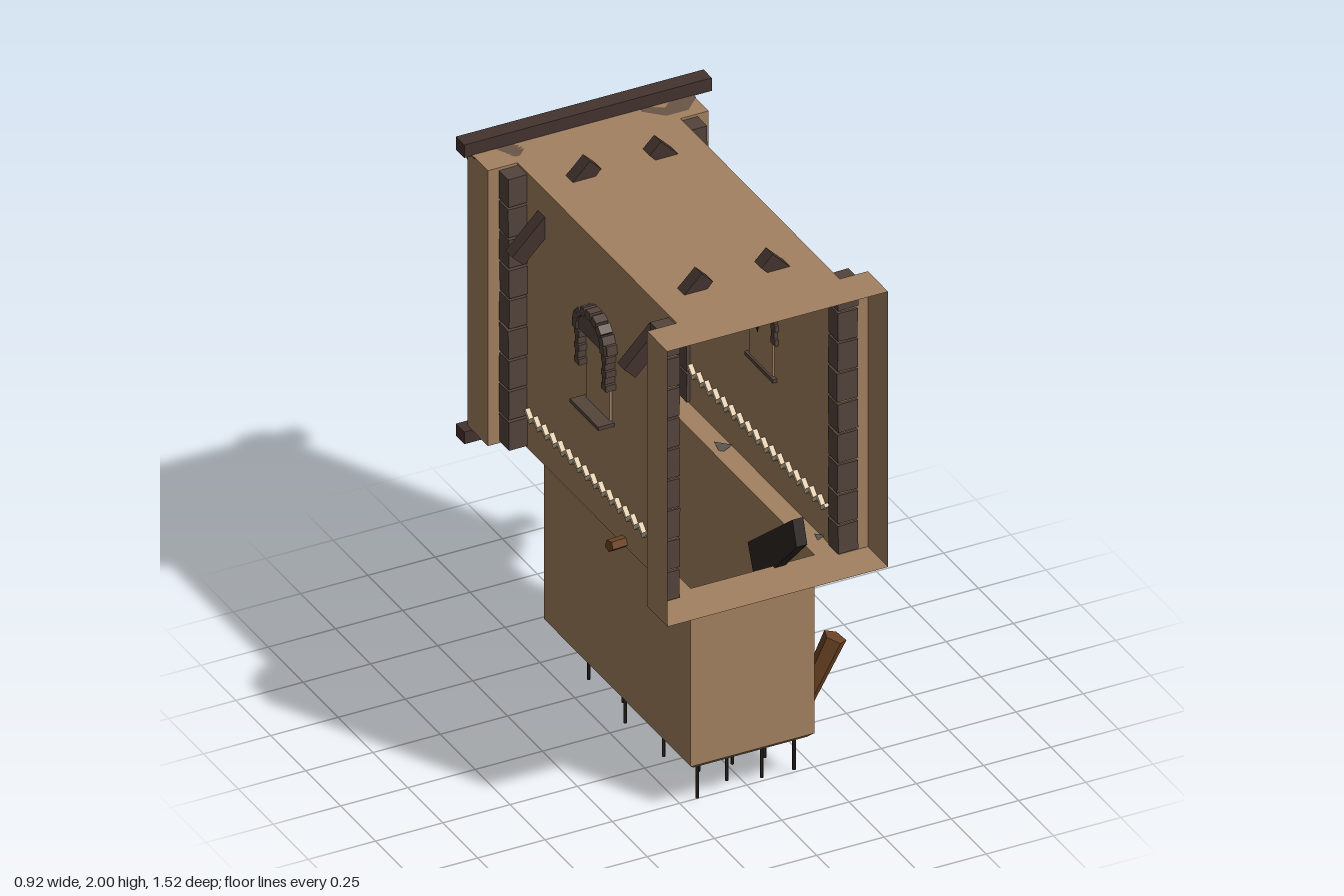
import * as THREE from 'three';

const CX = -0.02; // mirror plane of the corridor
const mat = (color, open = false) => new THREE.MeshStandardMaterial({
  color, flatShading: true, side: open ? THREE.DoubleSide : THREE.FrontSide });
const M = {
  wall: mat(0xa38160, true), stone: mat(0x54443c), timber: mat(0x44342f), column: mat(0x6b5448),
  wood: mat(0x6b4324), iron: mat(0x2c2522), tile: mat(0xd8c2a0), gold: mat(0xc07818), shard: mat(0x595450),
};
let seed = 7;
const rnd = () => (seed = (seed * 16807) % 2147483647) / 2147483647;

export function createModel() {
  const root = new THREE.Group();

  const add = (name, geo, material, x = 0, y = 0, z = 0, parent = root) => {
    const m = new THREE.Mesh(geo, material);
    m.name = name;
    m.position.set(x, y, z);
    parent.add(m);
    return m;
  };
  const box = (name, w, h, d, material, x, y, z, parent) =>
    add(name, new THREE.BoxGeometry(w, h, d), material, x, y, z, parent);
  // faceted bar between two points
  const bar = (name, a, b, r0, r1, sides, material) => {
    const p = new THREE.Vector3(...a), q = new THREE.Vector3(...b);
    const m = add(name, new THREE.CylinderGeometry(r1, r0, p.distanceTo(q), sides), material);
    m.position.copy(p).add(q).multiplyScalar(0.5);
    m.quaternion.setFromUnitVectors(new THREE.Vector3(0, 1, 0), q.sub(p).normalize());
    return m;
  };
  // vertical sheet following [x, z] points through a list of rows of points
  const sheet = (rows, ys, closed) => {
    const pos = [], n = rows[0].length;
    for (let r = 0; r < rows.length - 1; r++)
      for (let i = 0; i < (closed ? n : n - 1); i++) {
        const j = (i + 1) % n;
        const v = (row, k) => [rows[row][k][0], ys[row], rows[row][k][1]];
        const a = v(r, i), b = v(r, j), c = v(r + 1, j), d = v(r + 1, i);
        pos.push(...a, ...b, ...c, ...a, ...c, ...d);
      }
    const g = new THREE.BufferGeometry();
    g.setAttribute('position', new THREE.Float32BufferAttribute(pos, 3));
    g.computeVertexNormals();
    return g;
  };
  const flat = (pts, hole) => {
    const v = (l) => l.map(([x, z]) => new THREE.Vector2(x, -z));
    const s = new THREE.Shape(v(pts));
    if (hole) s.holes.push(new THREE.Path(v(hole)));
    return new THREE.ShapeGeometry(s).rotateX(-Math.PI / 2);
  };

  // corridor shell, widened at both ends
  const rightSide = [[0.39, 0.76], [0.39, 0.615], [0.285, 0.615], [0.285, -0.525], [0.39, -0.525], [0.39, -0.67]];
  const leftSide = rightSide.map(([x, z]) => [2 * CX - x + (x < 0.3 ? 0.005 : 0), z]);
  const plan = [...rightSide, ...leftSide.slice().reverse()];
  const pitRect = (k) => [[0.21 - k, 0.58 - k], [0.21 - k, -0.47 + k], [-0.25 + k, -0.47 + k], [-0.25 + k, 0.58 - k]];
  add('rightWall', sheet([rightSide, rightSide], [0.875, 1.94]), M.wall);
  const l = leftSide.slice().reverse();
  add('leftWall', sheet([l, l], [0.875, 1.94]), M.wall);
  add('roof', flat(plan), M.wall, 0, 1.94, 0);
  add('floor', flat(plan, pitRect(0)), M.wall, 0, 0.875, 0);

  // pit below the floor
  add('pitWalls', sheet([pitRect(0.02), pitRect(0), pitRect(0)], [0.165, 0.185, 0.875], true), M.wall);
  const bottom = flat(pitRect(0.02));
  add('pitBottom', bottom, M.wall, 0, 0.165, 0);

  // spikes through the pit bottom
  const spikes = new THREE.Group();
  spikes.name = 'spikes';
  root.add(spikes);
  const sx = [-0.19, -0.13, -0.08, -0.005, 0.05, 0.115, 0.17];
  const sz = [0.51, 0.405, 0.27, 0.135, -0.005, -0.135, -0.265, -0.385];
  sz.forEach((z, j) => sx.forEach((x, i) => {
    if ((i + j) % 2) return;
    const y0 = i === 4 && j === 2 ? 0 : 0.01 + 0.04 * rnd(), y1 = y0 + 0.22;
    add('spikeShaft', new THREE.CylinderGeometry(0.006, 0.006, y1 - y0, 6), M.iron, x, (y0 + y1) / 2, z, spikes);
    add('spikeTip', new THREE.ConeGeometry(0.006, 0.04, 6), M.iron, x, y1 + 0.02, z, spikes);
  }));

  // back cross beams
  box('topBeam', 0.92, 0.05, 0.06, M.timber, 0, 1.962, -0.667);
  box('bottomBeam', 0.92, 0.047, 0.06, M.timber, 0, 0.853, -0.667);

  // arch stones over a window
  const hood = new THREE.Shape();
  [[-0.125, 0], [0.125, 0], [0.12, 0.035], [0.085, 0.04], [0.075, 0.065], [0.045, 0.08], [0.02, 0.1],
    [-0.02, 0.1], [-0.045, 0.08], [-0.075, 0.065], [-0.085, 0.04], [-0.12, 0.035]]
    .forEach(([x, y], i) => (i ? hood.lineTo(x, y) : hood.moveTo(x, y)));
  const hoodGeo = new THREE.ExtrudeGeometry(hood, { depth: 0.055, bevelEnabled: false })
    .translate(0, 0, -0.0275).rotateY(Math.PI / 2);

  for (const s of [1, -1]) {
    const X = (d) => CX + s * d;         // distance from the mirror plane
    const wall = s > 0 ? 0.285 : -0.32;

    // stone piers at the wall steps
    for (const z of [0.59, -0.49])
      for (let i = 0; i < 9; i++) {
        const k = 0.006 * rnd();
        const st = box('pierStone', 0.078 - k, 0.108, 0.066 + k, M.stone, X(0.331), 0.937 + i * 0.1175, z);
        st.rotation.set(0, (rnd() - 0.5) * 0.06, (rnd() - 0.5) * 0.04);
      }

    // octagonal back columns with flared capitals
    const profile = [[0, 0.86], [0.074, 0.86], [0.074, 0.895], [0.068, 0.9], [0.074, 0.91], [0.074, 0.935],
      [0.066, 0.94], [0.068, 0.965], [0.06, 0.975], [0.063, 1.8], [0.072, 1.83], [0.104, 1.94], [0, 1.94]];
    const col = new THREE.LatheGeometry(profile.map(([r, y]) => new THREE.Vector2(r * 1.04, y)), 8, Math.PI / 8);
    add('column', col, M.column, X(0.313), 0, -0.662);

    // diagonal braces through wall and roof
    for (const z of [0.445, -0.355])
      box('brace', 0.41, 0.06, 0.05, M.timber, X(0.255), 1.838, z).rotation.z = -s * 0.79;

    // window: panel, sill, jamb stones and hood
    const wz = 0.065;
    box('windowPanel', 0.016, 0.29, 0.17, M.wall, wall, 1.445, wz);
    box('windowSill', 0.075, 0.014, 0.205, M.stone, wall + s * 0.022, 1.303, wz);
    for (const e of [1, -1])
      for (let i = 0; i < 6; i++)
        box('jambStone', 0.05, 0.024, i % 2 ? 0.022 : 0.034, M.stone, wall + s * 0.012, 1.455 + i * 0.027, wz + e * 0.096);
    add('windowHood', hoodGeo, M.stone, wall + s * 0.01, 1.588, wz);
    for (let i = 0; i < 9; i++) {
      const a = (i / 8) * Math.PI;
      box('hoodStone', 0.066, 0.032, 0.03, M.stone, wall + s * 0.012, 1.6 + 0.082 * Math.sin(a), wz + 0.1 * Math.cos(a))
        .rotation.x = -a;
    }

    // small lamp on the inside of the window
    add('lampFlame', new THREE.ConeGeometry(0.014, 0.05, 6), M.gold, wall - s * 0.02, 1.51, wz);
    add('lampHolder', new THREE.ConeGeometry(0.014, 0.05, 6).rotateX(Math.PI), M.iron, wall - s * 0.02, 1.465, wz);

    // zigzag tile band
    for (let i = 0; i < 34; i++)
      box('zigzagTile', 0.034, 0.013, 0.038, M.tile, wall, 1.015 + (i % 2 ? 0.007 : -0.002), 0.525 - i * 0.0289)
        .rotation.x = i % 2 ? 0.75 : -0.75;
  }

  // tilted board rising out of the pit
  const board = new THREE.Shape();
  [[0.46, 0.72], [0.56, 0.84], [0.75, 1.04], [0.72, 1.13], [0.4, 0.87]]
    .forEach(([z, y], i) => (i ? board.lineTo(-z, y) : board.moveTo(-z, y)));
  const boardGeo = new THREE.ExtrudeGeometry(board, { depth: 0.04, bevelEnabled: false }).rotateY(Math.PI / 2);
  add('board', boardGeo, M.iron, 0.055, 0, 0);

  // broken branches
  bar('branchFoot', [0.1, 0.18, 0.31], [0.31, 0.172, 0.335], 0.028, 0.033, 5, M.wood);
  bar('branch', [0.3, 0.155, 0.335], [0.4, 0.385, 0.36], 0.033, 0.042, 5, M.wood);
  bar('splinter', [-0.25, 0.885, 0.225], [-0.385, 0.9, 0.255], 0.022, 0.022, 5, M.wood);
  bar('splinterEnd', [-0.245, 0.82, 0.225], [-0.27, 0.89, 0.23], 0.012, 0.018, 5, M.wood);

  // loose stone shards
  for (const [x, y, z, r] of [[0.255, 0.88, -0.16, 0.04], [0.275, 0.88, 0.49, 0.022], [0, 0.16, -0.16, 0.04]]) {
    const sh = add('shard', new THREE.TetrahedronGeometry(r), M.shard, x, y, z);
    sh.scale.y = 0.5;
  }
  return root;
}
